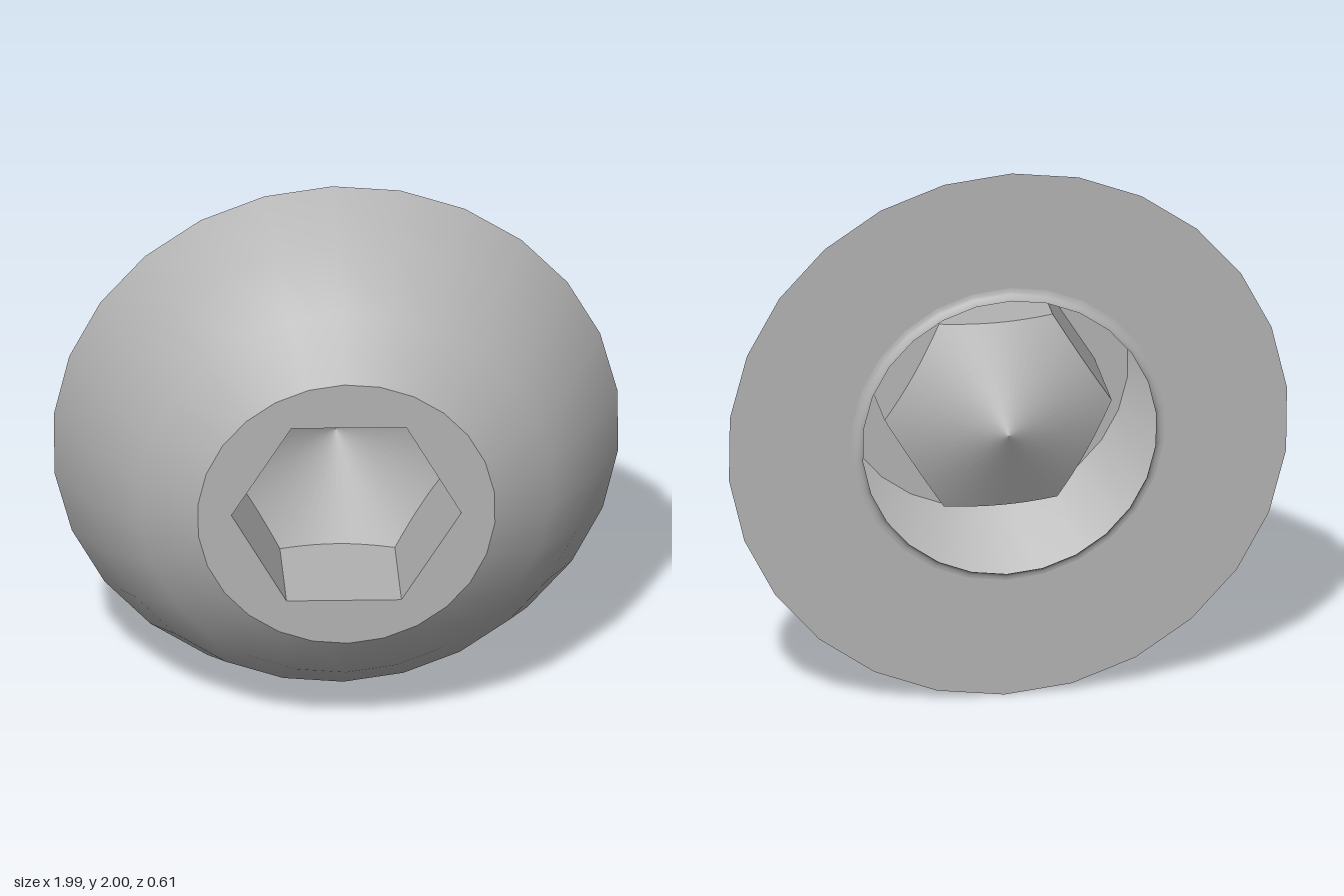
import * as THREE from 'three';

const SIDES = 26;          // facets around the head
const TWIST = 0.013;       // slight turn of the facets
const HEX_R = 0.405;       // socket corner radius
const HEX_TURN = -0.024;   // slight turn of the socket
const CORNER_Z = -0.06;    // depth of the socket corners
const APEX_Z = -0.29;      // tip of the drilled floor
const FRONT_Z = 0.305;
const BACK_Z = -0.27;

// Revolve [radius, z] points about the z axis
function revolve(profile, sides = SIDES, start = TWIST) {
  const points = profile.map(([r, z]) => new THREE.Vector2(r, z));
  return new THREE.LatheGeometry(points, sides, start).rotateX(Math.PI / 2);
}

// Squeeze a revolved surface to a hexagon; optionally seat its rim on the floor cone
function toHexagon(geometry, onCone) {
  const p = geometry.attributes.position;
  for (let i = 0; i < p.count; i++) {
    const x = p.getX(i), y = p.getY(i), z = p.getZ(i);
    if (Math.hypot(x, y) < 1e-5) continue;
    const sector = Math.PI / 3;
    let a = (Math.atan2(y, x) + Math.PI / 2 + 1e-6) % sector;
    if (a < 0) a += sector;
    const k = Math.cos(Math.PI / 6) / Math.cos(a - Math.PI / 6);
    p.setXYZ(i, x * k, y * k, onCone(z) ? APEX_Z + (CORNER_Z - APEX_Z) * k : z);
  }
  return geometry.rotateZ(Math.PI / 6 + HEX_TURN);
}

export function createModel() {
  const model = new THREE.Group();
  model.name = 'buttonHead';
  const steel = new THREE.MeshStandardMaterial({ color: 0xb2b2b2, side: THREE.DoubleSide });
  steel.name = 'grey steel';

  const add = (name, geometry) => {
    const mesh = new THREE.Mesh(geometry, steel);
    mesh.name = name;
    mesh.position.y = 1;
    model.add(mesh);
  };

  // Rounded outer surface
  add('dome', revolve([[1, BACK_Z], [0.885, -0.042], [0.733, 0.153], [0.526, FRONT_Z]]));

  // Flat underside and the flared open neck
  add('underside', revolve([[0.56, BACK_Z], [1, BACK_Z]]));
  const flare = [];
  for (let i = 0; i <= 5; i++) {
    const a = (i / 5) * Math.PI / 2;
    flare.push([0.56 - 0.035 * Math.cos(a), -0.305 + 0.035 * Math.sin(a)]);
  }
  add('neckFillet', revolve(flare));

  // Flat front ring around the socket
  const polygon = (r, sides, turn) => Array.from({ length: sides }, (_, i) => {
    const a = turn + (i / sides) * Math.PI * 2;
    return new THREE.Vector2(r * Math.cos(a), r * Math.sin(a));
  });
  const ring = new THREE.Shape(polygon(0.526, SIDES, TWIST - Math.PI / 2));
  ring.holes.push(new THREE.Path(polygon(HEX_R, 6, HEX_TURN)));
  add('frontRing', new THREE.ShapeGeometry(ring).translate(0, 0, FRONT_Z));

  // Hexagonal socket walls, their lower edges scalloped by the conical floor
  const walls = toHexagon(
    revolve([[HEX_R, FRONT_Z], [HEX_R, CORNER_Z]], 48, 0), z => z < 0).toNonIndexed();
  walls.computeVertexNormals();
  add('socketWalls', walls);

  // Conical socket floor
  add('socketFloor', toHexagon(revolve([[HEX_R, CORNER_Z], [0, APEX_Z]], 48, 0), () => true));

  return model;
}
